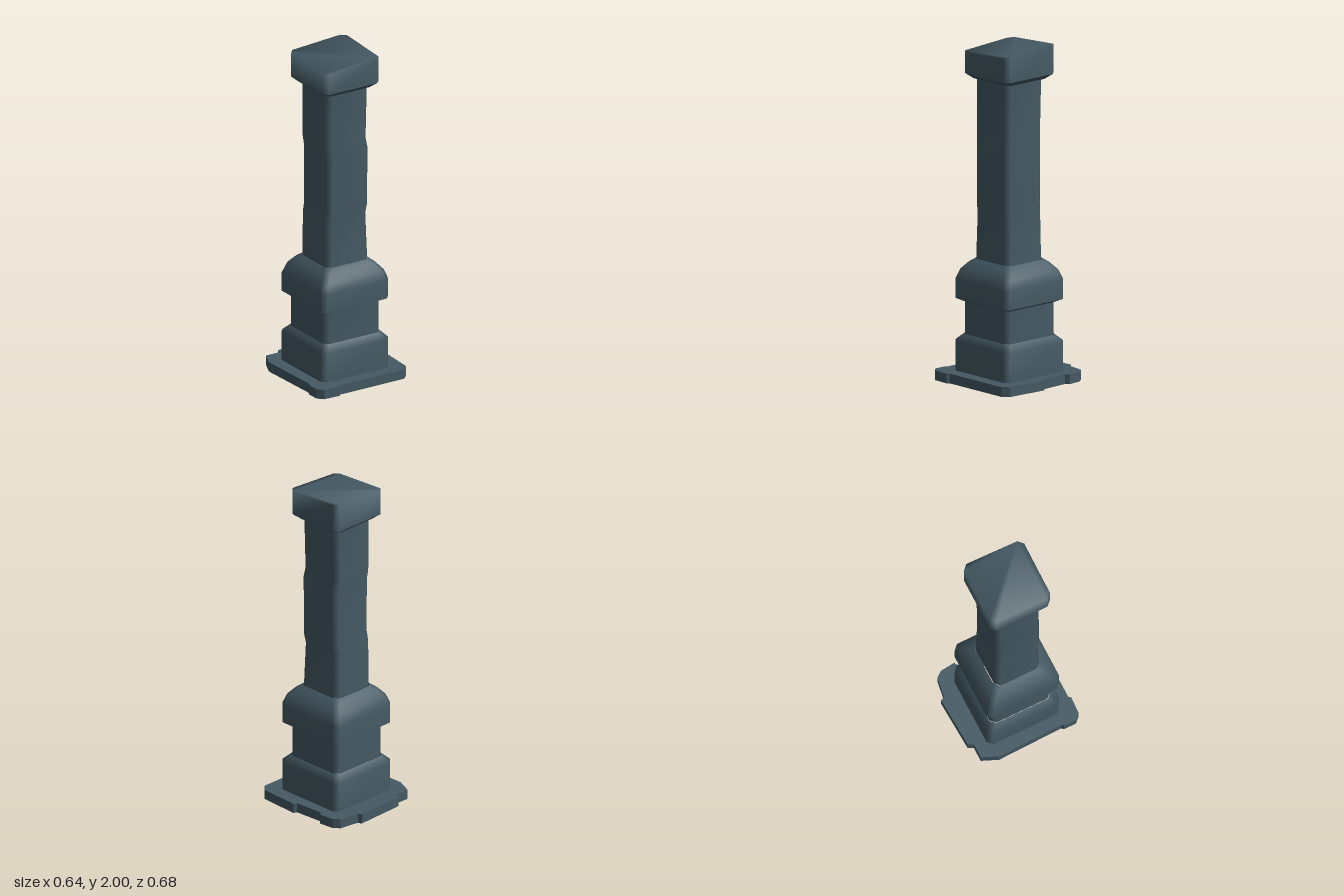
import * as THREE from 'three';

const stone = new THREE.MeshStandardMaterial({ color: 0x455a64, side: THREE.DoubleSide });
stone.name = 'slateStone';

// Square section with cut corners, counter-clockwise seen from above
function section(half, cut, cx, cz) {
  const a = half, b = half - cut;
  return [[a, b], [a, -b], [b, -a], [-b, -a], [-a, -b], [-a, b], [-b, a], [b, a]]
    .map(([x, z]) => [x + cx, z + cz]);
}

// Smooth loft through levels [y, half, cx, cz]; topAt(x, z) slopes and closes the last level
function loft(name, levels, cut = 0.03, topAt = null) {
  const positions = [], index = [];
  levels.forEach(([y, half, cx = -0.005, cz = 0.0125], level) => {
    const last = topAt && level >= levels.length - 1;
    for (const [x, z] of section(half, cut, cx, cz)) positions.push(x, last ? topAt(x, z) : y, z);
  });
  for (let l = 0; l < levels.length - 1; l++) {
    for (let i = 0; i < 8; i++) {
      const a = l * 8 + i, b = l * 8 + (i + 1) % 8;
      index.push(a, b, b + 8, a, b + 8, a + 8);
    }
  }
  if (topAt) {
    const first = (levels.length - 1) * 8;
    for (let i = 1; i < 7; i++) index.push(first, first + i, first + i + 1);
  }
  const geometry = new THREE.BufferGeometry();
  geometry.setAttribute('position', new THREE.Float32BufferAttribute(positions, 3));
  geometry.setIndex(index);
  geometry.computeVertexNormals();
  const mesh = new THREE.Mesh(geometry, stone);
  mesh.name = name;
  return mesh;
}

// Chipped paving slab, open beneath the hollow pillar
function makeSlab() {
  const outline = [
    [-0.28, -0.295], [-0.19, -0.295], [-0.175, -0.327], [0.138, -0.342], [0.148, -0.318],
    [0.27, -0.3], [0.3, -0.262], [0.31, -0.172], [0.288, -0.157], [0.3, 0.027],
    [0.322, 0.035], [0.308, 0.288], [0.27, 0.325], [-0.175, 0.325], [-0.183, 0.339],
    [-0.29, 0.334], [-0.322, 0.3], [-0.322, 0.222], [-0.31, 0.212], [-0.322, -0.197],
  ];
  const toPoints = (list) => list.map(([x, z]) => new THREE.Vector2(x, -z));
  const shape = new THREE.Shape(toPoints(outline));
  shape.holes.push(new THREE.Path(toPoints(section(0.235, 0.03, -0.005, 0.0125))));
  const geometry = new THREE.ExtrudeGeometry(shape, { depth: 0.058, bevelEnabled: false });
  geometry.rotateX(-Math.PI / 2);
  const mesh = new THREE.Mesh(geometry, stone);
  mesh.name = 'baseSlab';
  return mesh;
}

export function createModel() {
  const pillar = new THREE.Group();
  pillar.name = 'stonePillar';
  pillar.add(
    makeSlab(),
    // Stepped pedestal
    loft('pedestal', [[0.05, 0.235], [0.235, 0.235], [0.275, 0.197]]),
    loft('neck', [[0.275, 0.195], [0.47, 0.195]]),
    // Rounded collar
    loft('collarUnderside', [[0.47, 0.195], [0.49, 0.235]]),
    loft('collar', [[0.49, 0.235], [0.6, 0.235], [0.655, 0.216], [0.7, 0.179], [0.725, 0.148]]),
    // Worn shaft with shifted, uneven sections
    loft('shaft', [
      [0.725, 0.147, -0.007, 0.015],
      [1.0, 0.142, -0.009, 0.011],
      [1.06, 0.143, -0.004, 0.02],
      [1.41, 0.144, -0.003, 0.02],
      [1.47, 0.143, -0.01, 0.013],
      [1.8, 0.146, -0.006, 0.013],
    ]),
    // Capital with a sloping top
    loft('capUnderside', [[1.8, 0.146], [1.8, 0.16], [1.83, 0.195]]),
    loft('cap', [[1.83, 0.195], [1.95, 0.195]], 0.03, (x, z) => 1.979 + 0.062 * (x - z)),
  );
  return pillar;
}
